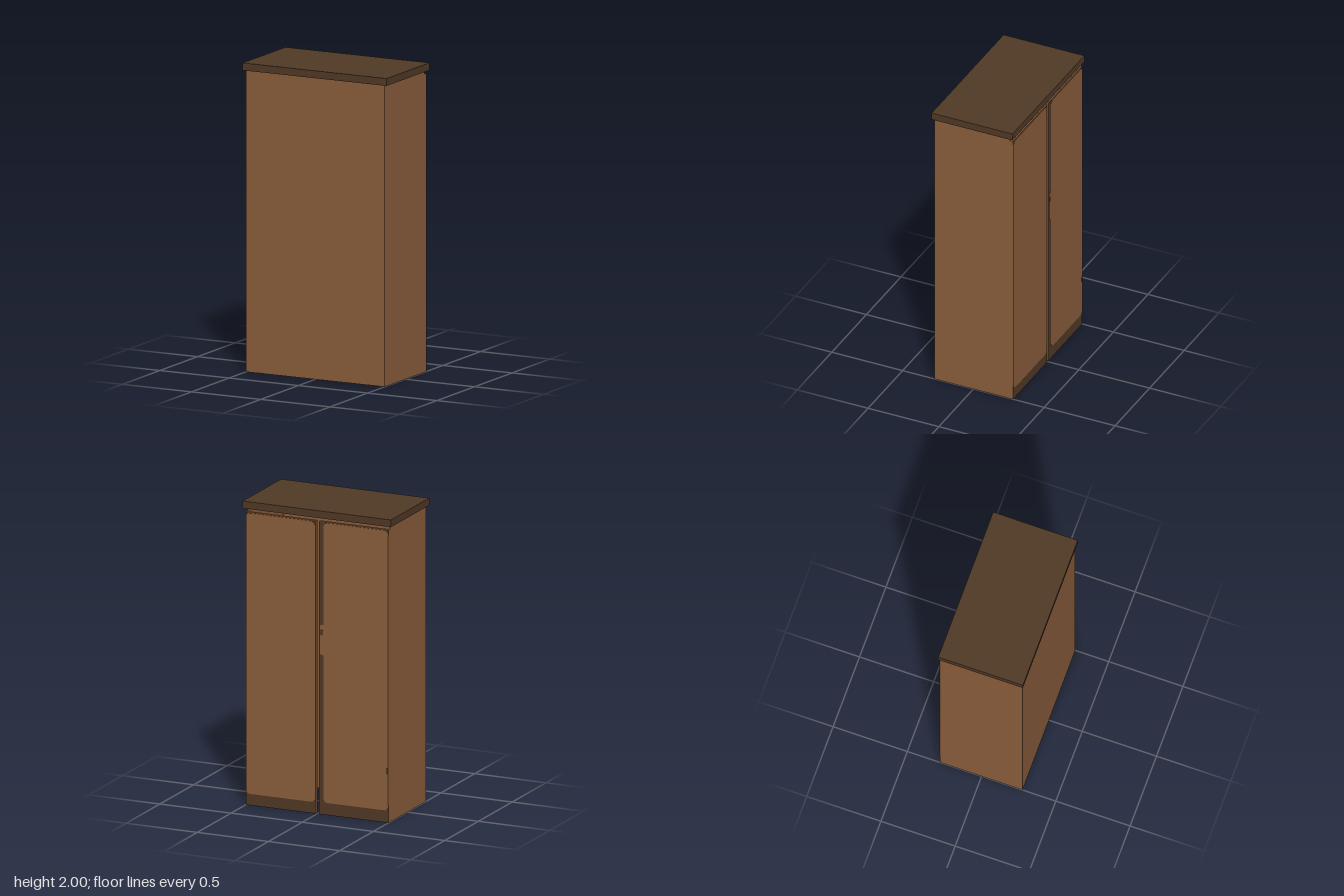
import * as THREE from 'three';

const brown = new THREE.MeshStandardMaterial({ color: 0x8b5e3c, side: THREE.DoubleSide });
brown.name = 'warm wood';
const dark = new THREE.MeshStandardMaterial({ color: 0x513926 });
dark.name = 'dark wood';

function addBox(parent, name, material, x0, x1, y0, y1, z0, z1) {
  const mesh = new THREE.Mesh(new THREE.BoxGeometry(x1 - x0, y1 - y0, z1 - z0), material);
  mesh.position.set((x0 + x1) / 2, (y0 + y1) / 2, (z0 + z1) / 2);
  mesh.name = name;
  parent.add(mesh);
}

// Thin plate with rounded corners, from z0 to z1
function addRoundedPlate(parent, name, material, x0, x1, y0, y1, r, z0, z1) {
  const s = new THREE.Shape();
  s.moveTo(x0 + r, y0);
  s.lineTo(x1 - r, y0);
  s.quadraticCurveTo(x1, y0, x1, y0 + r);
  s.lineTo(x1, y1 - r);
  s.quadraticCurveTo(x1, y1, x1 - r, y1);
  s.lineTo(x0 + r, y1);
  s.quadraticCurveTo(x0, y1, x0, y1 - r);
  s.lineTo(x0, y0 + r);
  s.quadraticCurveTo(x0, y0, x0 + r, y0);
  const geometry = new THREE.ExtrudeGeometry(s, { depth: z1 - z0, bevelEnabled: false, curveSegments: 6 });
  const mesh = new THREE.Mesh(geometry, material);
  mesh.position.z = z0;
  mesh.name = name;
  parent.add(mesh);
}

// Door slab, dark facing and raised rounded panel
function makeDoor(name, x0, x1, panelX0, panelX1, panelY0) {
  const door = new THREE.Group();
  door.name = name;
  addBox(door, 'doorSlab', brown, x0, x1, 0, 1.93, -0.278, -0.257);
  addBox(door, 'doorFacing', dark, x0, x1, 0, 1.925, -0.28, -0.278);
  addRoundedPlate(door, 'doorPanel', brown, panelX0, panelX1, panelY0, 1.925, 0.035, -0.282, -0.28);
  return door;
}

export function createModel() {
  const cabinet = new THREE.Group();
  cabinet.name = 'cabinet';

  // Thin hollow carcass, open below and behind the doors
  const t = 0.004;
  addBox(cabinet, 'frontWall', brown, -0.5, 0.5, 0, 1.955, 0.275 - t, 0.275);
  for (const side of [-1, 1]) {
    const a = side * 0.5, b = side * (0.5 - t);
    addBox(cabinet, side > 0 ? 'leftWall' : 'rightWall', brown,
      Math.min(a, b), Math.max(a, b), 0, 1.955, -0.257, 0.275 - t);
  }

  // Overhanging top
  addBox(cabinet, 'topBoard', dark, -0.52, 0.52, 1.952, 2, -0.285, 0.285);

  // Pair of doors
  cabinet.add(makeDoor('leftDoor', 0.007, 0.5, 0.014, 0.5, 0.075));
  const rightDoor = makeDoor('rightDoor', -0.5, -0.013, -0.5, -0.046, 0.08);
  cabinet.add(rightDoor);

  // Latch plate with its dark keyhole, and a small hinge
  addRoundedPlate(rightDoor, 'latchPlate', brown, -0.06, -0.02, 1.05, 1.25, 0.018, -0.282, -0.28);
  addRoundedPlate(rightDoor, 'keyhole', dark, -0.043, -0.018, 1.18, 1.22, 0.012, -0.2835, -0.282);
  addRoundedPlate(rightDoor, 'hinge', dark, -0.5, -0.486, 0.32, 0.36, 0.006, -0.2835, -0.282);

  return cabinet;
}
